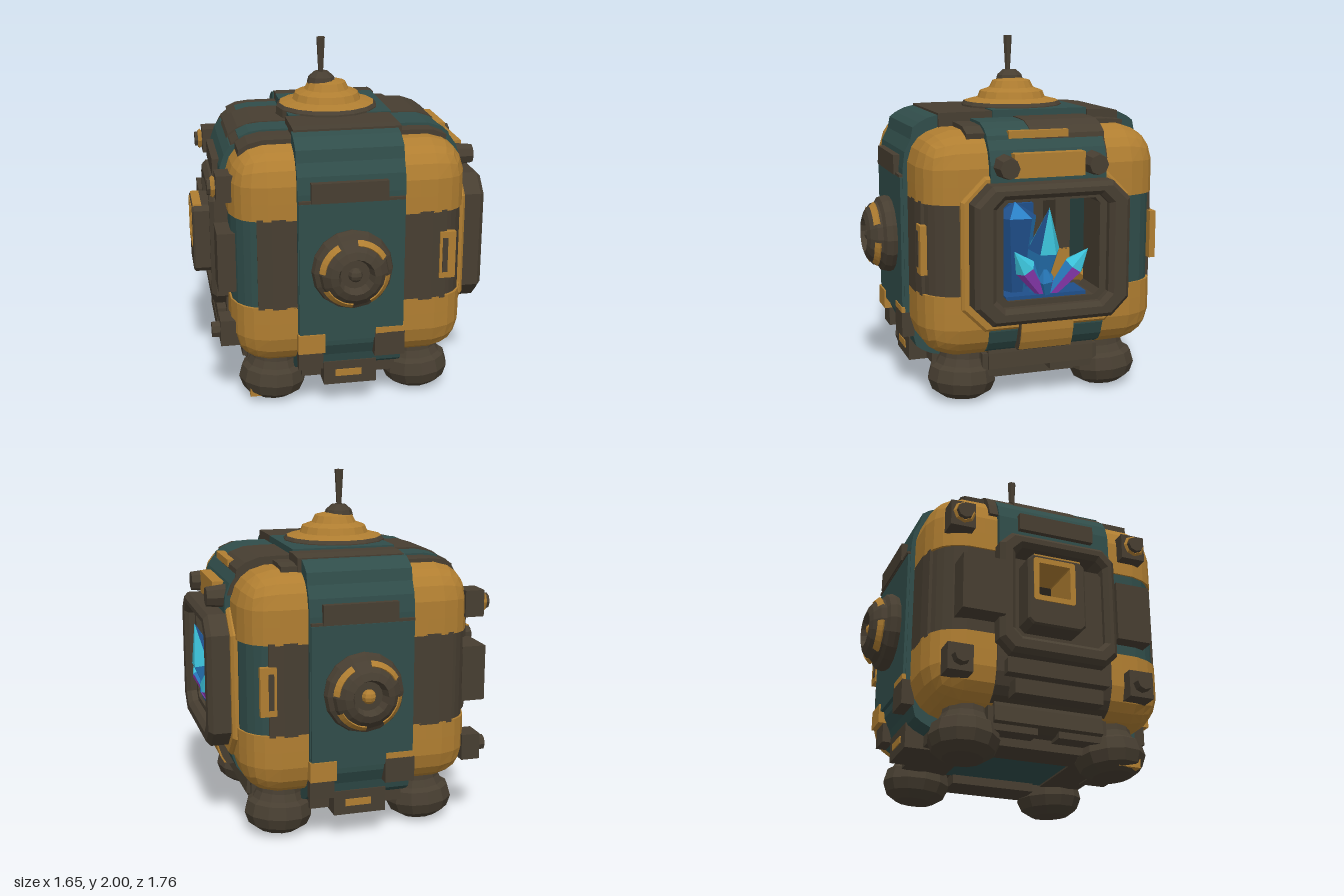
import * as THREE from 'three';

const mat = (name, color) => Object.assign(new THREE.MeshStandardMaterial({ color, flatShading: true }), { name });

export function createModel() {
  const gold = mat('worn gold', 0xb07e31), teal = mat('dark teal', 0x304d4a), dark = mat('dark brown', 0x473e31);
  const navy = mat('deep blue', 0x1f4f8a), blue = mat('crystal blue', 0x2a7fc4);
  const cyan = mat('crystal cyan', 0x3cc4dc), purple = mat('crystal purple', 0x9a40c4);
  const model = new THREE.Group();
  model.name = 'pod';
  const add = (name, geo, m, parent = model) => {
    const mesh = new THREE.Mesh(geo, m);
    mesh.name = name;
    parent.add(mesh);
    return mesh;
  };

  // Every hull panel is a box bent onto one common rounded cube
  const core = new THREE.Vector3(0.45, 0.42, 0.47), mid = new THREE.Vector3(0, 0.89, 0);
  function panel(name, m, x0, x1, y0, y1, z0, z1, parent = model) {
    const s = [x1 - x0, y1 - y0, z1 - z0];
    const geo = new THREE.BoxGeometry(...s, ...s.map(l => Math.ceil(l / 0.1)));
    geo.translate((x0 + x1) / 2, (y0 + y1) / 2, (z0 + z1) / 2);
    const pos = geo.attributes.position, p = new THREE.Vector3(), c = new THREE.Vector3();
    for (let i = 0; i < pos.count; i++) {
      p.fromBufferAttribute(pos, i).sub(mid);
      c.copy(p).clamp(core.clone().negate(), core);
      p.sub(c);
      const len = p.length();
      if (len > 1e-6) p.multiplyScalar(Math.max(Math.abs(p.x), Math.abs(p.y), Math.abs(p.z)) / len);
      p.add(c).add(mid);
      pos.setXYZ(i, p.x, p.y, p.z);
    }
    geo.computeVertexNormals();
    return add(name, geo, m, parent);
  }
  const span = (s, a, b) => s > 0 ? [a, b] : [-b, -a];
  const box = (name, m, x, y, z, w, h, d, parent = model) =>
    add(name, new THREE.BoxGeometry(w, h, d).translate(x, y, z), m, parent);

  // Corners, edge columns and feet
  const footProfile = [[0, 0], [0.11, 0], [0.17, 0.04], [0.195, 0.1], [0.18, 0.17], [0.15, 0.19], [0.13, 0.23], [0.12, 0.32]]
    .map(p => new THREE.Vector2(...p));
  for (const sx of [-1, 1]) for (const sz of [-1, 1]) {
    const xs = span(sx, 0.27, 0.66), zs = span(sz, 0.31, 0.685);
    panel('upperCorner', gold, ...xs, 1.14, 1.52, ...zs);
    panel('lowerCorner', gold, ...xs, 0.26, 0.64, ...zs);
    panel('edgeColumn', sx * sz < 0 ? teal : dark, ...span(sx, 0.5, 0.65), 0.63, 1.15, ...span(sz, 0.32, 0.67));
    panel('edgePlate', dark, ...span(sx, 0.27, 0.53), 0.63, 1.15, ...span(sz, 0.4, 0.685));
    if (sx > 0) {
      box('slotTrim', gold, 0.53, 0.89, sz * 0.67, 0.09, 0.27, 0.036);
      box('slot', dark, 0.515, 0.89, sz * 0.689, 0.03, 0.2, 0.006);
    }
    const foot = add('foot', new THREE.LatheGeometry(footProfile, 12), dark);
    foot.position.set(sx * 0.43, 0.01, sz * 0.43);
    foot.rotation.set(-sz * 0.06, 0, sx * 0.06);
  }
  box('footPad', gold, -0.5, 0.06, 0.47, 0.13, 0.05, 0.13);

  // Front and back bands with handles, clips and round ports
  const portProfile = [[0.21, -0.02], [0.225, 0.03], [0.215, 0.065], [0.19, 0.08], [0.18, 0.11], [0.14, 0.145], [0.1, 0.16], [0.08, 0.11], [0, 0.11]]
    .map(p => new THREE.Vector2(...p));
  for (const turn of [0, Math.PI]) {
    const face = new THREE.Group(), port = new THREE.Group();
    face.name = turn ? 'backBand' : 'frontBand';
    port.name = 'port';
    panel('centreBand', teal, -0.31, 0.28, 0.2, 1.585, 0.5, 0.71, face);
    box('bandPlate', teal, -0.015, 0.84, 0.7, 0.58, 0.8, 0.05, face);
    box('handle', dark, -0.03, 1.3, 0.71, 0.42, 0.11, 0.06, face);
    box('handleRail', dark, -0.015, 1.25, 0.715, 0.58, 0.015, 0.03, face);
    box('goldClip', gold, -0.24, 0.43, 0.7, 0.15, 0.11, 0.07, face);
    box('clipFoot', dark, -0.24, 0.32, 0.675, 0.14, 0.11, 0.06, face);
    box('darkClip', dark, 0.2, 0.4, 0.695, 0.17, 0.14, 0.07, face);
    box('darkClipTrim', gold, 0.2, 0.485, 0.695, 0.16, 0.035, 0.07, face);
    box('lowerPlate', dark, -0.01, 0.21, 0.58, 0.3, 0.14, 0.16, face);
    box('lowerTrim', gold, -0.02, 0.21, 0.66, 0.15, 0.04, 0.012, face);
    add('portBody', new THREE.LatheGeometry(portProfile, 16).rotateX(Math.PI / 2), dark, port);
    for (let i = 0; i < 4; i++) {
      const arc = add('portTrim', new THREE.TorusGeometry(0.168, 0.026, 4, 6, 1), gold, port);
      arc.position.z = 0.102;
      arc.rotation.z = 0.5 + i * 1.57;
    }
    add('portCentre', new THREE.SphereGeometry(0.04, 8, 6).translate(0, 0, 0.115), turn ? gold : dark, port);
    port.position.set(-0.02, 0.87, 0.72);
    face.add(port);
    face.rotation.y = turn;
    model.add(face);
  }

  // Roof and floor plates: [material, x0, x1, z0, z1, top]
  const roof = [
    [teal, -0.28, 0.31, -0.36, 0.2, 1.6], [dark, -0.3, 0.3, 0.2, 0.51, 1.595], [dark, -0.27, 0.33, -0.55, -0.36, 1.59],
    [dark, -0.68, -0.28, -0.22, 0.15, 1.56], [teal, -0.54, -0.28, -0.38, -0.22, 1.55], [teal, -0.6, -0.28, 0.15, 0.32, 1.555],
    [dark, 0.31, 0.68, -0.34, 0.08, 1.565], [teal, 0.31, 0.67, 0.08, 0.33, 1.56], [dark, -0.64, -0.29, 0.32, 0.5, 1.545],
    [dark, -0.68, -0.54, -0.38, -0.22, 1.55], [dark, -0.68, -0.6, 0.15, 0.32, 1.55], [dark, -0.6, -0.27, -0.5, -0.38, 1.54],
    [dark, 0.3, 0.6, 0.33, 0.43, 1.545], [dark, 0.32, 0.42, -0.54, -0.34, 1.545],
  ];
  for (const [m, x0, x1, z0, z1, top] of roof) panel('roofPlate', m, x0, x1, 1.36, top, z0, z1);
  panel('floorPlate', teal, -0.28, 0.28, 0.15, 0.45, -0.3, 0.3);
  for (const s of [-1, 1]) {
    panel('floorSidePlate', dark, ...span(s, 0.28, 0.6), 0.16, 0.4, -0.31, 0.31);
    panel('floorEndPlate', dark, -0.27, 0.27, 0.14, 0.4, ...span(s, 0.3, 0.56));
    box('floorRail', dark, s * 0.36, 0.15, 0, 0.2, 0.1, 0.5);
    for (const z of [-0.2, 0.2]) box('floorBlock', dark, s * 0.48, 0.21, z, 0.16, 0.13, 0.28);
  }

  // Side walls above and below the windows
  for (const s of [-1, 1]) {
    panel('upperWall', teal, ...span(s, 0.5, 0.69), 1.17, 1.53, -0.33, 0.33);
    panel('lowerWall', s > 0 ? teal : dark, ...span(s, 0.5, 0.67), 0.26, 0.6, -0.33, 0.33);
  }
  box('upperClip', gold, 0.67, 1.345, 0.01, 0.12, 0.13, 0.4);
  box('upperTrim', gold, 0.6, 1.5, 0.04, 0.06, 0.04, 0.34);
  panel('lowerClip', dark, 0.55, 0.71, 0.27, 0.5, -0.14, 0.17);
  panel('lowerClipFace', gold, 0.705, 0.72, 0.29, 0.5, -0.135, 0.165);
  for (const z of [-0.25, 0.25]) {
    add('knob', new THREE.CylinderGeometry(0.055, 0.07, 0.14, 8).rotateZ(-Math.PI / 2).translate(0.71, 1.34, z), dark);
  }

  // Bevelled window frames: z and y ranges, corner cut, hole ranges
  function octagon(path, a0, a1, y0, y1, c) {
    const pts = [[a0 + c, y0], [a1 - c, y0], [a1, y0 + c], [a1, y1 - c], [a1 - c, y1], [a0 + c, y1], [a0, y1 - c], [a0, y0 + c]];
    return path.setFromPoints(pts.map(p => new THREE.Vector2(...p)));
  }
  function frame(name, m, side, z, y, cut, hz, hy, hcut, from, to, bevel) {
    const flip = r => side > 0 ? [-r[1], -r[0]] : r;
    const shape = octagon(new THREE.Shape(), ...flip(z), ...y, cut);
    shape.holes.push(octagon(new THREE.Path(), ...flip(hz), ...hy, hcut));
    const geo = new THREE.ExtrudeGeometry(shape, {
      depth: to - from - bevel * 2, bevelEnabled: bevel > 0, bevelSize: bevel, bevelThickness: bevel, bevelOffset: -bevel, bevelSegments: 1,
    });
    geo.translate(0, 0, from + bevel).rotateY(side * Math.PI / 2);
    return add(name, geo, m);
  }
  frame('windowSurround', gold, 1, [-0.47, 0.49], [0.44, 1.29], 0.13, [-0.33, 0.35], [0.58, 1.2], 0.05, 0.5, 0.685, 0.015);
  frame('windowFrame', dark, 1, [-0.43, 0.45], [0.5, 1.255], 0.1, [-0.31, 0.33], [0.59, 1.18], 0.05, 0.6, 0.81, 0.025);
  frame('windowInnerFrame', dark, 1, [-0.36, 0.38], [0.55, 1.21], 0.08, [-0.27, 0.28], [0.62, 1.16], 0.03, 0.52, 0.75, 0);
  frame('hatchFrame', dark, -1, [-0.34, 0.34], [0.52, 1.23], 0.07, [-0.25, 0.27], [0.62, 1.15], 0.04, 0.55, 0.75, 0.025);
  frame('hatchPlate', dark, -1, [-0.26, 0.27], [0.56, 1.09], 0.02, [-0.2, 0.08], [0.78, 1.03], 0.02, 0.6, 0.7, 0);
  frame('hatchBox', dark, -1, [-0.22, 0.11], [0.65, 1.06], 0.03, [-0.18, 0.04], [0.8, 1.03], 0.01, 0.62, 0.835, 0.01);
  frame('hatchTrim', gold, -1, [-0.19, 0.05], [0.79, 1.04], 0.01, [-0.16, 0.02], [0.82, 1.01], 0.005, 0.58, 0.84, 0);
  box('hatchTopTrim', gold, -0.805, 1.058, -0.05, 0.05, 0.012, 0.27);

  // Fittings on the hatch side
  box('sidePad', dark, -0.7, 0.87, -0.44, 0.14, 0.32, 0.24);
  box('sidePad', dark, -0.68, 0.87, 0.45, 0.1, 0.34, 0.2);
  for (const [y, z] of [[1.29, -0.55], [1.29, 0.47], [0.45, 0.48], [0.45, -0.55]]) {
    box('bracket', dark, -0.67, y, z, 0.11, 0.15, 0.14);
    add('bracketKnob', new THREE.CylinderGeometry(0.045, 0.055, 0.09, 8).rotateZ(Math.PI / 2).translate(-0.725, y, z), dark);
    if (y > 1) add('bracketRing', new THREE.TorusGeometry(0.052, 0.012, 4, 8).rotateY(Math.PI / 2).translate(-0.74, y, z), gold);
  }
  for (const [y, w] of [[0.34, 0.5], [0.45, 0.58]]) box('lowerVent', dark, -0.67, y, 0, 0.1, 0.08, w);
  box('upperVent', dark, -0.66, 1.32, 0, 0.12, 0.1, 0.44);

  // Roof dome and antenna
  const lathe = (name, m, pts, n) => {
    const mesh = add(name, new THREE.LatheGeometry(pts.map(p => new THREE.Vector2(...p)), n), m);
    mesh.position.set(-0.025, 0, -0.02);
    return mesh;
  };
  lathe('domeBase', dark, [[0.3, 1.55], [0.295, 1.605], [0.28, 1.622], [0.2, 1.625]], 16);
  lathe('dome', gold, [[0.278, 1.623], [0.2, 1.642], [0.185, 1.68], [0.13, 1.7], [0.11, 1.74], [0.05, 1.755]], 16);
  const cap = lathe('antennaBase', dark, [[0.085, 1.735], [0.075, 1.77], [0.04, 1.8], [0, 1.8]], 10);
  cap.position.x = -0.055;
  const rod = add('antenna', new THREE.CylinderGeometry(0.026, 0.014, 0.22, 6), dark);
  rod.position.set(-0.06, 1.89, -0.01);

  // Crystals: six-sided shaft and point, the colours cycling around the facets
  function facets(geo, indicesPerSide, mats) {
    geo.clearGroups();
    for (let i = 0; i < 6; i++) geo.addGroup(i * indicesPerSide, indicesPerSide, i % mats.length);
    return geo;
  }
  function crystal(base, tip, r, shaft, point, pointShare) {
    const a = new THREE.Vector3(...base), dir = new THREE.Vector3(...tip).sub(a), L = dir.length(), h = L * (1 - pointShare);
    const g = new THREE.Group();
    g.name = 'crystal';
    add('crystalShaft', facets(new THREE.CylinderGeometry(r, r * 0.45, h, 6, 1, true).translate(0, h / 2, 0), 6, shaft), shaft, g);
    add('crystalPoint', facets(new THREE.ConeGeometry(r, L - h, 6, 1, true).translate(0, (L + h) / 2, 0), 3, point), point, g);
    g.position.copy(a);
    g.quaternion.setFromUnitVectors(new THREE.Vector3(0, 1, 0), dir.normalize());
    model.add(g);
  }
  crystal([0.66, 0.62, 0.06], [0.8, 1.13, 0.04], 0.09, [blue], [navy, cyan, cyan], 0.46);
  crystal([0.6, 0.62, 0.17], [0.58, 1.13, 0.16], 0.125, [navy, navy, blue], [navy, blue], 0.16);
  crystal([0.69, 0.62, 0.03], [0.78, 0.9, 0.23], 0.06, [purple, purple, blue], [cyan], 0.36);
  crystal([0.69, 0.62, 0.0], [0.78, 0.89, -0.19], 0.06, [blue, purple, purple], [cyan], 0.36);
  crystal([0.7, 0.62, 0.02], [0.77, 0.83, 0.06], 0.05, [blue, blue, purple], [blue], 0.5);
  box('crystalBackdrop', navy, 0.53, 0.87, 0.16, 0.03, 0.48, 0.24);
  box('crystalShelf', dark, 0.58, 0.6, 0, 0.3, 0.04, 0.56);
  box('crystalBed', navy, 0.64, 0.63, 0.03, 0.18, 0.02, 0.46);
  return model;
}
